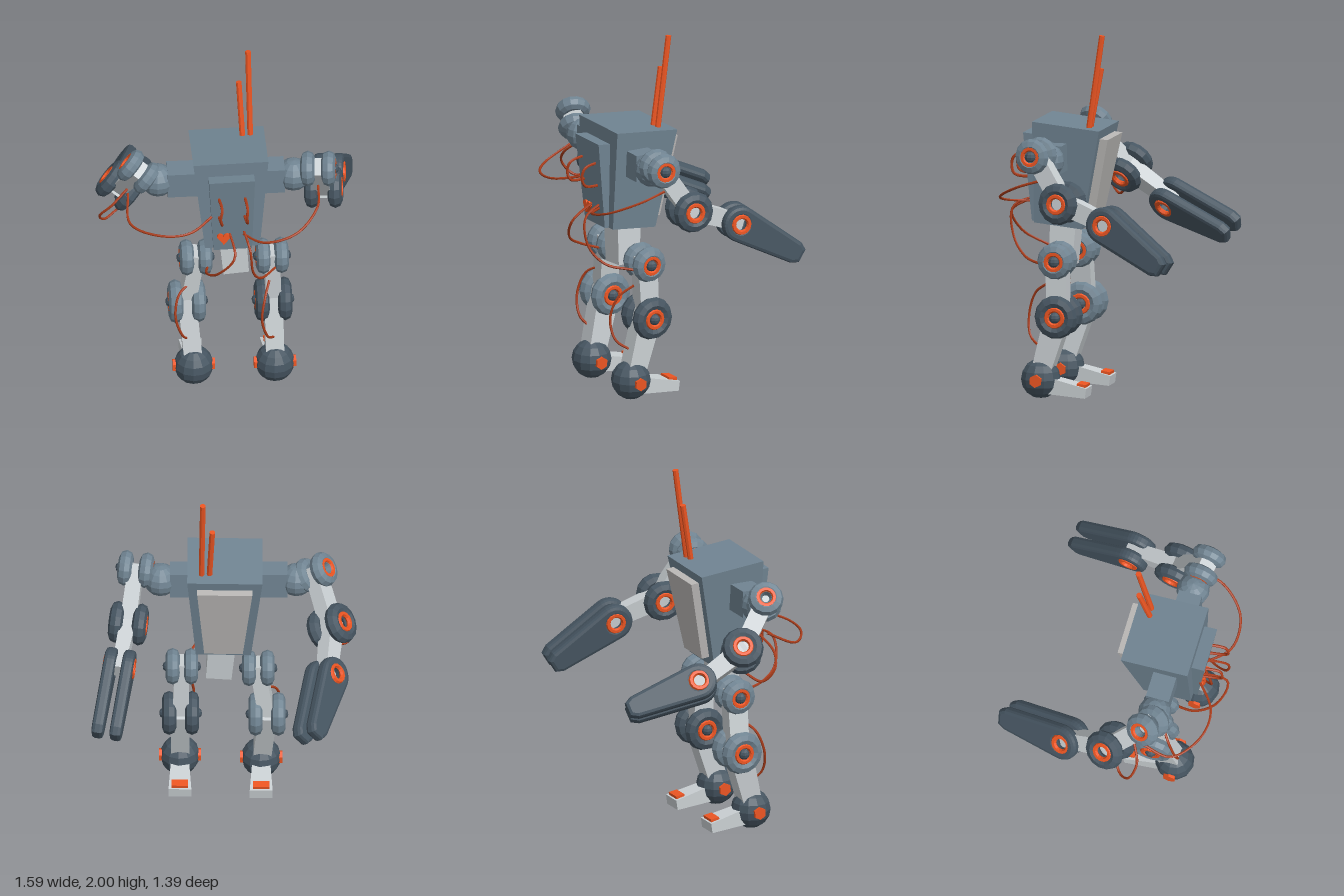
import * as THREE from 'three';

const V = (x, y, z) => new THREE.Vector3(x, y, z);
const mat = (color) => new THREE.MeshStandardMaterial({ color, flatShading: true });
const steel = mat(0x708492), dark = mat(0x465561), pale = mat(0xc9cfd2), plate = mat(0xbab8b6);
const orange = mat(0xec5522), cableMat = mat(0xa83c1a);

const YAW = -0.44;
const SIDE = V(Math.cos(YAW), 0, -Math.sin(YAW)); // the body's left
const AHEAD = V(-Math.sin(YAW), 0, -Math.cos(YAW)); // the way the toes point

export function createModel() {
  const root = new THREE.Group();

  function add(name, geo, material, parent = root) {
    const mesh = new THREE.Mesh(geo, material);
    mesh.name = name;
    parent.add(mesh);
    return mesh;
  }

  // Box whose lower end has its own width and depth
  function tapered(w1, d1, w2, d2, h) {
    const g = new THREE.BoxGeometry(1, h, 1);
    const p = g.attributes.position;
    for (let i = 0; i < p.count; i++) {
      const top = p.getY(i) > 0;
      p.setX(i, p.getX(i) * (top ? w1 : w2));
      p.setZ(i, p.getZ(i) * (top ? d1 : d2));
    }
    g.computeVertexNormals();
    return g;
  }

  // Tapered bar from a to b, its width along the hinge axis
  function bar(name, a, b, axis, size, material, extra = 0) {
    const y = a.clone().sub(b);
    const len = y.length();
    y.normalize();
    const x = axis.clone().addScaledVector(y, -axis.dot(y)).normalize();
    const m = add(name, tapered(...size, len + 2 * extra), material);
    m.quaternion.setFromRotationMatrix(new THREE.Matrix4().makeBasis(x, y, x.clone().cross(y)));
    m.position.copy(a).add(b).multiplyScalar(0.5);
  }

  function aim(mesh, pos, axis, from = V(0, 0, 1)) {
    mesh.position.copy(pos);
    mesh.quaternion.setFromUnitVectors(from, axis);
  }

  function rings(name, p, axis, offset, hub) {
    for (const s of [-1, 1]) {
      const q = p.clone().addScaledVector(axis, s * offset);
      aim(add(name + 'Ring', new THREE.TorusGeometry(0.046, 0.015, 6, 14), orange), q, axis);
      if (hub) add(name + 'Hub', new THREE.SphereGeometry(0.031, 8, 6), dark).position.copy(q);
    }
  }

  // Pair of fat wheels on a hinge axis
  function joint(name, p, axis, r, offset, material, hub) {
    const t = 0.039;
    for (const s of [-1, 1]) {
      aim(add(name + 'Wheel', new THREE.TorusGeometry(r - t, t, 8, 14), material),
        p.clone().addScaledVector(axis, s * offset), axis);
    }
    rings(name, p, axis, offset + 0.025, hub);
  }

  function cable(name, pts, r = 0.007) {
    const curve = new THREE.CatmullRomCurve3(pts.map((p) => V(...p)));
    add(name, new THREE.TubeGeometry(curve, 28, r, 6), cableMat);
  }

  // Torso, leaning slightly forward
  const torso = new THREE.Group();
  torso.name = 'torso';
  torso.position.set(-0.147, 1.5, 0.245);
  torso.rotation.set(-0.1, YAW, 0.015, 'YXZ');
  root.add(torso);
  add('torsoShell', tapered(0.41, 0.38, 0.3, 0.27, 0.56), steel, torso).position.y = -0.28;
  add('cablePanel', tapered(0.25, 0.28, 0.21, 0.09, 0.48), steel, torso).position.set(0, -0.32, 0.115);
  add('chestPlate', tapered(0.3, 0.26, 0.21, 0.17, 0.46), plate, torso).position.set(0, -0.28, -0.1);

  // Antennae
  for (const [a, b] of [[V(0.015, 1.47, 0.2), V(0.04, 2, 0.13)], [V(-0.025, 1.47, 0.185), V(-0.015, 1.81, 0.125)]]) {
    const d = b.clone().sub(a);
    aim(add('antenna', new THREE.CylinderGeometry(0.016, 0.016, d.length(), 8), orange),
      a.clone().add(b).multiplyScalar(0.5), d.clone().normalize(), V(0, 1, 0));
  }

  // Pelvis
  bar('pelvis', V(-0.155, 1, 0.29), V(-0.14, 0.72, 0.31), SIDE, [0.15, 0.15, 0.14, 0.13], pale);

  // Shoulders
  for (const s of [-1, 1]) {
    const at = (d) => V(-0.19, 1.335, 0.29).addScaledVector(SIDE, s * d);
    const block = add('shoulderBlock', new THREE.BoxGeometry(0.18, 0.15, 0.13), steel);
    block.position.copy(at(0.23));
    block.rotation.y = YAW;
    add('shoulderBall', new THREE.SphereGeometry(0.092, 12, 8), steel).position.copy(at(0.37));
  }

  // Arms: hinge axis, shoulder, elbow, wrist, claw tip
  const arms = [
    ['left', V(0.84, 0.05, 0.54), V(0.255, 1.385, 0.53), V(0.36, 1.137, 0.402), V(0.52, 1.037, 0.18), V(0.73, 0.82, -0.1), true],
    ['right', V(-0.57, 0.57, -0.6), V(-0.615, 1.39, 0.08), V(-0.615, 1.16, -0.125), V(-0.483, 1, -0.34), V(-0.235, 0.865, -0.635), false],
  ];
  const finger = new THREE.Shape();
  finger.moveTo(-0.028, -0.398);
  finger.lineTo(0.028, -0.398);
  finger.lineTo(0.044, -0.37);
  finger.lineTo(0.078, -0.03);
  finger.absarc(0, 0, 0.08, 0, Math.PI, false);
  finger.lineTo(-0.078, -0.03);
  finger.lineTo(-0.044, -0.37);
  finger.holes.push(new THREE.Path().absarc(0, 0, 0.062, 0, Math.PI * 2, true));
  const fingerGeo = new THREE.ExtrudeGeometry(finger, {
    depth: 0.026, bevelEnabled: true, bevelThickness: 0.02, bevelSize: 0.02, bevelSegments: 2, curveSegments: 8,
  });
  fingerGeo.translate(0, 0, -0.013);

  for (const [side, rawAxis, shoulder, elbow, wrist, tip, hub] of arms) {
    const axis = rawAxis.clone().normalize();
    bar(side + 'UpperArm', shoulder, elbow, axis, [0.08, 0.1, 0.09, 0.1], pale, 0.03);
    bar(side + 'Forearm', elbow, wrist, axis, [0.09, 0.11, 0.07, 0.09], pale, 0.03);
    joint(side + 'Shoulder', shoulder, axis, 0.098, 0.057, steel, hub);
    joint(side + 'Elbow', elbow, axis, 0.115, 0.064, dark, false);
    rings(side + 'Wrist', wrist, axis, 0.074, false);
    const y = wrist.clone().sub(tip).normalize();
    const z = axis.clone().addScaledVector(y, -axis.dot(y)).normalize();
    const basis = new THREE.Matrix4().makeBasis(y.clone().cross(z), y, z);
    for (const s of [-1, 1]) {
      const f = add(side + 'ClawFinger', fingerGeo, dark);
      f.quaternion.setFromRotationMatrix(basis);
      f.position.copy(wrist).addScaledVector(z, s * 0.05);
    }
  }

  // Legs: hip, knee, ankle
  const legs = [
    ['left', V(0.05, 0.77, 0.378), V(0.06, 0.465, 0.372), V(0.02, 0.115, 0.465), dark],
    ['right', V(-0.32, 0.77, 0.187), V(-0.36, 0.468, 0.16), V(-0.375, 0.11, 0.265), steel],
  ];
  for (const [side, hip, knee, ankle, kneeMat] of legs) {
    bar(side + 'Thigh', hip, knee, SIDE, [0.08, 0.12, 0.09, 0.11], pale, 0.04);
    bar(side + 'Shin', knee, ankle, SIDE, [0.1, 0.14, 0.1, 0.1], pale, 0.03);
    joint(side + 'Hip', hip, SIDE, 0.1, 0.05, steel, true);
    joint(side + 'Knee', knee, SIDE, 0.12, 0.062, kneeMat, true);

    // Ball heel with hexagonal caps and a flat toe
    add(side + 'Heel', new THREE.SphereGeometry(0.109, 12, 8), dark).position.copy(ankle);
    for (const s of [-1, 1]) {
      aim(add(side + 'AnkleCap', new THREE.CylinderGeometry(0.036, 0.036, 0.03, 6), orange),
        ankle.clone().addScaledVector(SIDE, s * 0.1), SIDE, V(0, 1, 0));
    }
    const toe = ankle.clone().addScaledVector(AHEAD, 0.27).setY(0.05);
    bar(side + 'Toe', ankle.clone().setY(0.09), toe, SIDE, [0.09, 0.1, 0.125, 0.055], pale);
    const pad = add(side + 'ToePad', new THREE.BoxGeometry(0.09, 0.022, 0.05), orange);
    pad.position.copy(toe).addScaledVector(AHEAD, -0.03).setY(0.088);
    pad.rotation.set(-0.15, YAW, 0, 'YXZ');
  }

  // Cables
  cable('leftArmCable', [[0.27, 1.25, 0.5], [0.2, 1.205, 0.62], [0.03, 1.13, 0.69], [-0.13, 1.08, 0.62], [-0.19, 1.06, 0.44]]);
  cable('rightArmCable', [[-0.31, 1.205, 0.4], [-0.5, 1.165, 0.445], [-0.64, 1.15, 0.37], [-0.73, 1.15, 0.19], [-0.66, 1.23, 0.04]]);
  cable('elbowCable', [[-0.64, 1.23, 0.0], [-0.74, 1.15, 0.0], [-0.785, 1.07, -0.05], [-0.73, 1.0, -0.09], [-0.61, 1.04, -0.11]]);
  cable('leftHipCable', [[-0.17, 1.1, 0.43], [-0.2, 1.03, 0.58], [-0.18, 0.87, 0.58], [-0.1, 0.77, 0.53], [0.03, 0.74, 0.45]]);
  cable('rightHipCable', [[-0.24, 1.09, 0.4], [-0.29, 1.0, 0.57], [-0.36, 0.87, 0.5], [-0.36, 0.8, 0.38], [-0.28, 0.75, 0.26]]);
  cable('leftLegCable', [[0.01, 0.64, 0.42], [-0.05, 0.58, 0.48], [-0.085, 0.46, 0.51], [-0.05, 0.34, 0.51], [0.02, 0.28, 0.46]]);
  cable('rightLegCable', [[-0.34, 0.63, 0.2], [-0.44, 0.58, 0.22], [-0.48, 0.46, 0.25], [-0.45, 0.34, 0.27], [-0.39, 0.27, 0.24]]);
  cable('panelLoop', [[-0.31, 1.33, 0.42], [-0.34, 1.31, 0.52], [-0.355, 1.26, 0.53], [-0.34, 1.21, 0.52], [-0.3, 1.195, 0.4]], 0.008);
  cable('panelLoop', [[-0.18, 1.33, 0.48], [-0.21, 1.31, 0.57], [-0.22, 1.26, 0.585], [-0.21, 1.21, 0.57], [-0.17, 1.195, 0.45]], 0.008);

  // Small heart ornament on the cable panel
  const heart = new THREE.Shape();
  heart.moveTo(0, -0.035);
  heart.lineTo(0.036, 0.008);
  heart.absarc(0.018, 0.014, 0.018, 0, Math.PI, false);
  heart.absarc(-0.018, 0.014, 0.018, 0, Math.PI, false);
  heart.lineTo(0, -0.035);
  const heartMesh = add('heartOrnament', new THREE.ExtrudeGeometry(heart, { depth: 0.05, bevelEnabled: false, curveSegments: 5 }), orange, torso);
  heartMesh.position.set(-0.05, -0.475, 0.145);

  return root;
}
